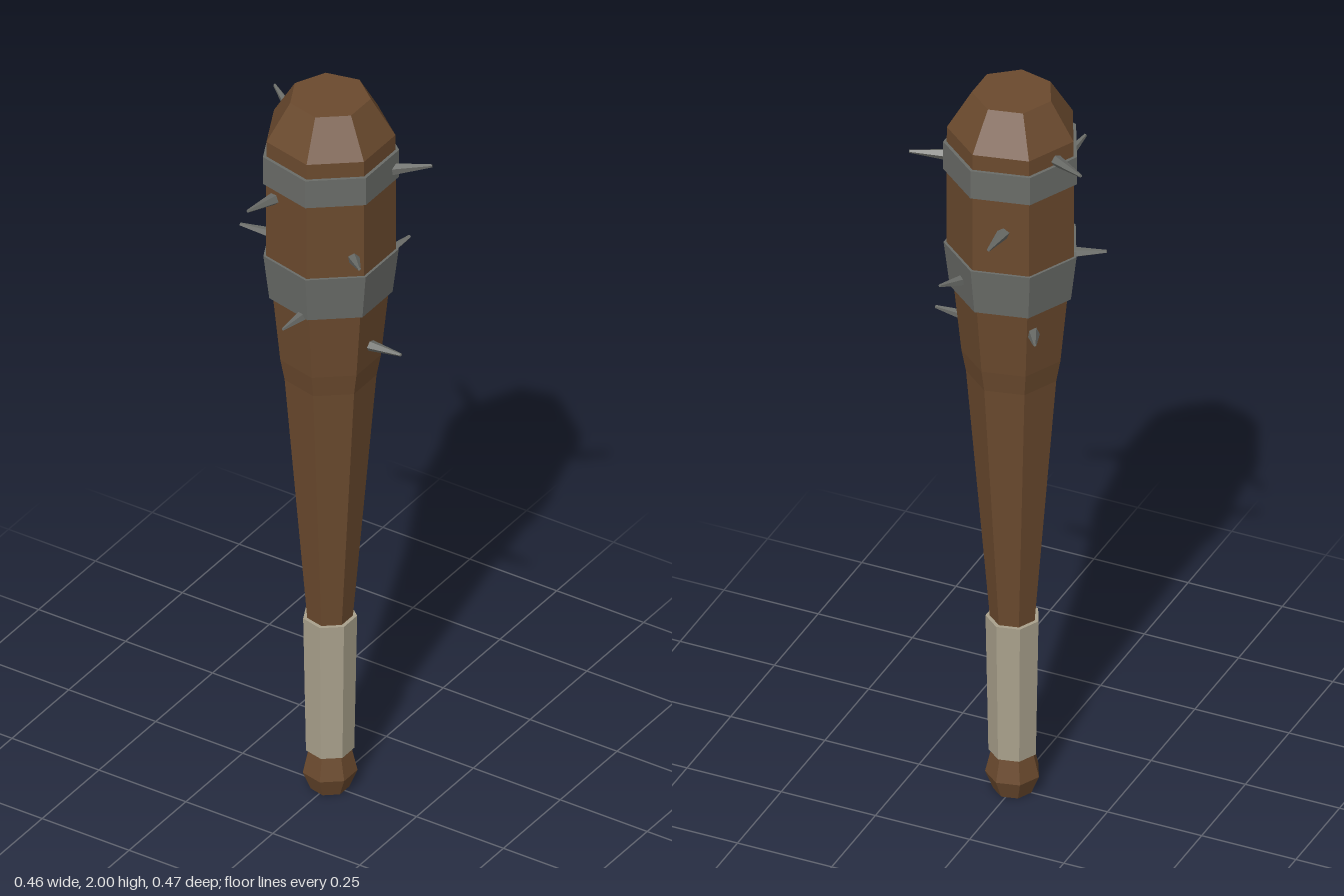
import * as THREE from 'three';

const SIDES = 7;

// Seven-sided turned part with one corner pointing to -x; profile is [radius, y] from bottom to top.
function turned(name, profile, material) {
  const points = profile.map(([r, y]) => new THREE.Vector2(r, y));
  const mesh = new THREE.Mesh(new THREE.LatheGeometry(points, SIDES, -Math.PI / 2), material);
  mesh.name = name;
  return mesh;
}

// Tapered spike running from a base point to a tip point.
function spike(base, tip, material) {
  const from = new THREE.Vector3(...base), to = new THREE.Vector3(...tip);
  const dir = to.clone().sub(from);
  const mesh = new THREE.Mesh(new THREE.CylinderGeometry(0.004, 0.016, dir.length(), 5), material);
  mesh.position.copy(from).add(to).multiplyScalar(0.5);
  mesh.quaternion.setFromUnitVectors(new THREE.Vector3(0, 1, 0), dir.normalize());
  mesh.name = 'spike';
  return mesh;
}

export function createModel() {
  const flat = (name, color) => {
    const m = new THREE.MeshStandardMaterial({ color, flatShading: true });
    m.name = name;
    return m;
  };
  const wood = flat('wood', 0x6b4a2e);
  const metal = flat('iron', 0x6a6c68);
  const cloth = flat('gripWrap', 0xa9a18c);

  const club = new THREE.Group();
  club.name = 'spikedClub';

  // Wooden shaft: pommel, handle, flaring head and chamfered top
  club.add(turned('shaft', [
    [0, 0], [0.048, 0], [0.068, 0.05], [0.053, 0.115], [0.057, 0.5],
    [0.114, 1.2], [0.125, 1.26], [0.143, 1.44], [0.161, 1.57],
    [0.161, 1.78], [0.16, 1.9], [0.1, 2], [0, 2],
  ], wood));

  // Cloth grip
  club.add(turned('grip', [
    [0.04, 0.113], [0.06, 0.113], [0.067, 0.497], [0.04, 0.497],
  ], cloth));

  // Iron bands
  club.add(turned('lowerBand', [
    [0.12, 1.445], [0.153, 1.445], [0.168, 1.57], [0.12, 1.57],
  ], metal));
  club.add(turned('upperBand', [
    [0.13, 1.78], [0.169, 1.78], [0.169, 1.858], [0.13, 1.858],
  ], metal));

  // Spikes scattered around the head: [base, tip]
  const spikes = new THREE.Group();
  spikes.name = 'spikes';
  [
    [[-0.13, 1.868, -0.045], [-0.23, 1.885, -0.11]],
    [[-0.095, 1.385, -0.09], [-0.13, 1.4, -0.157]],
    [[-0.038, 1.685, -0.135], [-0.043, 1.695, -0.235]],
    [[0.076, 1.5, -0.1], [0.107, 1.525, -0.19]],
    [[0.14, 1.81, -0.05], [0.23, 1.825, -0.1]],
    [[0.105, 1.32, 0.002], [0.207, 1.325, 0.002]],
    [[0.12, 1.62, 0.08], [0.18, 1.645, 0.145]],
    [[0.013, 1.443, 0.12], [0.01, 1.45, 0.22]],
    [[-0.073, 1.748, 0.13], [-0.085, 1.763, 0.23]],
    [[-0.13, 1.56, 0.023], [-0.225, 1.573, 0.05]],
  ].forEach(([base, tip]) => spikes.add(spike(base, tip, metal)));
  club.add(spikes);

  return club;
}
